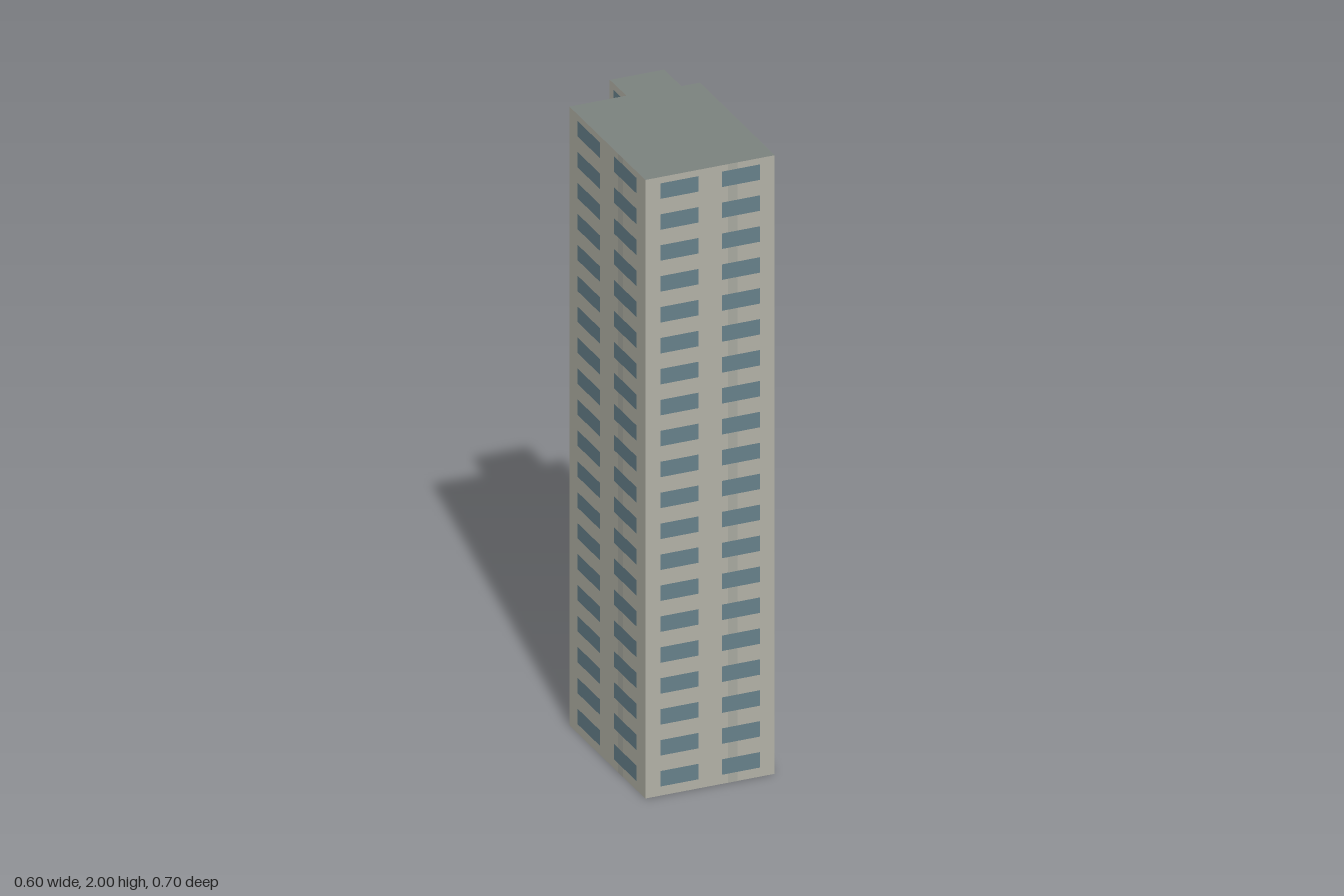
import * as THREE from 'three';
import { mergeGeometries } from 'three/addons/utils/BufferGeometryUtils.js';

const HEIGHT = 2, FLOORS = 20, STOREY = HEIGHT / FLOORS;

// Tower footprint (x, z), each wall running left to right as seen from outside
const FOOTPRINT = [
  [-0.3, 0.175], [0.075, 0.348], [0.3, -0.14], [0.246, -0.166],
  [0.298, -0.277], [0.14, -0.35], [0.092, -0.243], [-0.073, -0.32],
];

// Upright rectangle on the wall a-b, between fractions u0..u1 and heights y0..y1
function wallPanel(a, b, u0, u1, y0, y1, offset = 0) {
  const dx = b[0] - a[0], dz = b[1] - a[1];
  const length = Math.hypot(dx, dz), u = (u0 + u1) / 2;
  const g = new THREE.PlaneGeometry(length * (u1 - u0), y1 - y0);
  g.translate(0, 0, offset);
  g.rotateY(Math.atan2(-dz, dx));
  return g.translate(a[0] + dx * u, (y0 + y1) / 2, a[1] + dz * u);
}

export function createModel() {
  const group = new THREE.Group();
  const add = (name, geometry, color, side = THREE.FrontSide) => {
    const mesh = new THREE.Mesh(geometry, new THREE.MeshStandardMaterial({ color, side }));
    mesh.name = name;
    group.add(mesh);
  };

  const walls = [], windows = [], strips = [];
  FOOTPRINT.forEach((a, i) => {
    const b = FOOTPRINT[(i + 1) % FOOTPRINT.length];
    const isLong = Math.hypot(b[0] - a[0], b[1] - a[1]) > 0.3;
    walls.push(wallPanel(a, b, 0, 1, 0, HEIGHT));

    // Two window columns on the long walls, one on the short ones
    const columns = isLong ? [[0.115, 0.41], [0.59, 0.885]] : [[0.24, 0.77]];
    for (let floor = 0; floor < FLOORS; floor++) {
      const y = floor * STOREY + 0.03;
      for (const [u0, u1] of columns) windows.push(wallPanel(a, b, u0, u1, y, y + 0.05, 0.001));
    }

    // Faint vertical weathering strip
    if (isLong) strips.push(wallPanel(a, b, 0.64, 0.71, 0, HEIGHT, 0.0005));
  });

  add('walls', mergeGeometries(walls), 0xb2b1a6, THREE.DoubleSide);
  add('windows', mergeGeometries(windows), 0x66808a);
  add('wallStrips', mergeGeometries(strips), 0xa7a89f);

  // Flat roof; the underside of the tower stays open
  const outline = new THREE.Shape(FOOTPRINT.map(([x, z]) => new THREE.Vector2(x, -z)));
  const roof = new THREE.ShapeGeometry(outline).rotateX(-Math.PI / 2).translate(0, HEIGHT, 0);
  add('roof', roof, 0x7b827e, THREE.DoubleSide);

  return group;
}
